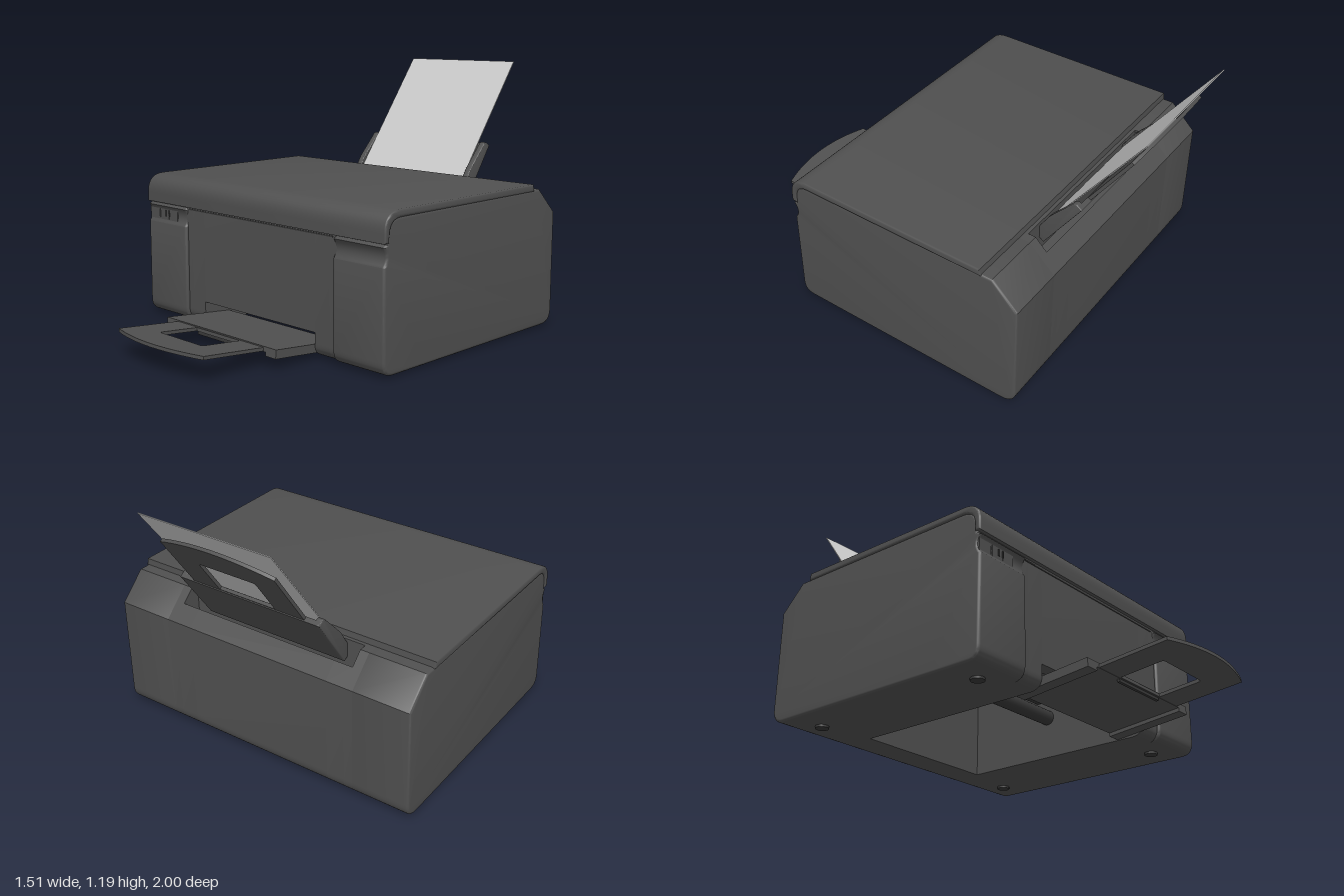
import * as THREE from 'three';
import { toCreasedNormals } from 'three/addons/utils/BufferGeometryUtils.js';

const plastic = new THREE.MeshStandardMaterial({ color: 0x505050 });
const dark = new THREE.MeshStandardMaterial({ color: 0x383838 });
const white = new THREE.MeshStandardMaterial({ color: 0xcccccc, side: THREE.DoubleSide });

function add(parent, name, geometry, material = plastic, x = 0, y = 0, z = 0) {
  const mesh = new THREE.Mesh(geometry, material);
  mesh.name = name;
  mesh.position.set(x, y, z);
  parent.add(mesh);
  return mesh;
}
const box = (w, h, d) => new THREE.BoxGeometry(w, h, d);

// Sweeps a (z, y) side profile along x from x0 to x1, with optional rounded ends
function sweep(shape, x0, x1, bevel = 0) {
  const g = new THREE.ExtrudeGeometry(shape, {
    depth: x1 - x0 - 2 * bevel, bevelEnabled: bevel > 0, bevelSize: bevel,
    bevelThickness: bevel, bevelOffset: -bevel, bevelSegments: 3, curveSegments: 10,
  });
  g.rotateY(-Math.PI / 2);
  g.translate(x1 - bevel, 0, 0);
  return toCreasedNormals(g, 0.6);
}

// Casing profile: optional feed notch in the rear slope, optional open paper chamber
function casing({ front = 0.42, notch = false, chamber = false, grip = false }) {
  const s = new THREE.Shape();
  s.moveTo(chamber ? -0.54 : 0.2, 0.01);
  s.lineTo(-0.66, 0.01);
  s.quadraticCurveTo(-0.73, 0.01, -0.73, 0.08);
  s.lineTo(-0.73, 0.53);
  if (notch) {
    s.lineTo(-0.665, 0.592);
    s.lineTo(-0.635, 0.5);
    s.lineTo(-0.575, 0.5);
    s.lineTo(-0.575, 0.645);
  } else {
    s.lineTo(-0.61, 0.645);
  }
  s.lineTo(0.34, 0.645);
  s.quadraticCurveTo(0.42, 0.645, 0.42, 0.56);
  if (grip) {
    s.lineTo(0.42, 0.54);
    s.lineTo(front, 0.53);
    s.quadraticCurveTo(0.405, 0.49, front, 0.45);
  }
  if (chamber) {
    s.lineTo(0.42, 0.115);
    s.lineTo(0.36, 0.115);
    s.lineTo(0.36, 0.4);
    s.lineTo(-0.54, 0.4);
  } else {
    s.lineTo(front, 0.07);
    s.quadraticCurveTo(front, 0.01, front - 0.06, 0.01);
  }
  s.closePath();
  return s;
}

function lidProfile() {
  const s = new THREE.Shape();
  s.moveTo(-0.56, 0.64);
  s.lineTo(-0.555, 0.672);
  s.lineTo(0.35, 0.672);
  s.quadraticCurveTo(0.437, 0.67, 0.437, 0.585);
  s.lineTo(0.437, 0.545);
  s.lineTo(0.41, 0.545);
  s.lineTo(0.41, 0.57);
  s.quadraticCurveTo(0.41, 0.64, 0.34, 0.64);
  s.closePath();
  return s;
}

// Pull-out extension with a bowed end and a rectangular window; runs along local +y
function extension(length) {
  const s = new THREE.Shape();
  s.moveTo(-0.28, -0.04);
  s.lineTo(0.28, -0.04);
  s.lineTo(0.28, length - 0.05);
  s.quadraticCurveTo(0, length + 0.05, -0.28, length - 0.05);
  s.closePath();
  const w = new THREE.Path();
  w.moveTo(-0.14, 0.005);
  w.lineTo(-0.14, 0.19);
  w.quadraticCurveTo(-0.14, 0.205, -0.125, 0.205);
  w.lineTo(0.125, 0.205);
  w.quadraticCurveTo(0.14, 0.205, 0.14, 0.19);
  w.lineTo(0.14, 0.005);
  w.closePath();
  s.holes.push(w);
  const g = new THREE.ExtrudeGeometry(s, { depth: 0.015, bevelEnabled: false, curveSegments: 16 });
  return toCreasedNormals(g, 0.5);
}

export function createModel() {
  const model = new THREE.Group();
  model.name = 'printer';

  // Casing: side blocks, recessed middle, feed notch and open chamber underneath
  const body = new THREE.Group();
  body.name = 'casing';
  model.add(body);
  const side = casing({ front: 0.435, grip: true });
  add(body, 'rightBlock', sweep(side, -0.75, -0.47, 0.012));
  add(body, 'leftBlock', sweep(side, 0.47, 0.75, 0.012));
  for (const m of [-1, 1]) {
    const span = (shape, a, b) => sweep(shape, m > 0 ? a : -b, m > 0 ? b : -a);
    add(body, 'middleWall', span(casing({}), 0.44, 0.482));
    add(body, 'feedWall', span(casing({ notch: true }), 0.355, 0.44));
    for (const z of [-0.58, 0.3]) add(body, 'foot', new THREE.CylinderGeometry(0.03, 0.03, 0.014, 16), dark, m * 0.6, 0.007, z);
  }
  add(body, 'middleSection', sweep(casing({ notch: true, chamber: true }), -0.355, 0.355));

  // Lid wrapping over the top front edge
  add(model, 'lid', sweep(lidProfile(), -0.755, 0.755, 0.008));
  add(model, 'frontPanelLip', box(0.92, 0.006, 0.01), dark, 0, 0.534, 0.418);

  // Control buttons in the right grip recess
  for (const [x, w] of [[-0.71, 0.07], [-0.638, 0.06], [-0.573, 0.06]])
    add(model, 'button', box(w, 0.07, 0.012), plastic, x, 0.492, 0.42);
  for (const x of [-0.63, -0.605]) add(model, 'buttonMark', box(0.008, 0.03, 0.004), dark, x, 0.495, 0.427);

  // Feed roller and paper guide inside the chamber
  const roller = add(model, 'feedRoller', new THREE.CylinderGeometry(0.035, 0.035, 0.7, 20), dark, 0, 0.2, -0.1);
  roller.rotation.z = Math.PI / 2;
  add(model, 'paperGuide', box(0.7, 0.06, 0.12), dark, 0, 0.31, -0.1);

  // Rear support, leaning back
  const rear = new THREE.Group();
  rear.name = 'rearSupport';
  rear.position.set(0, 0.55, -0.595);
  rear.rotation.x = -0.6;
  model.add(rear);
  add(rear, 'supportPlate', box(0.7, 0.3, 0.022), plastic, 0, 0.15, 0.011);
  const rail = new THREE.Shape();
  rail.moveTo(0, 0);
  rail.lineTo(0.06, 0);
  rail.lineTo(0.064, 0.14);
  rail.lineTo(0.042, 0.285);
  rail.quadraticCurveTo(0.038, 0.3, 0.025, 0.3);
  rail.lineTo(0, 0.3);
  rail.closePath();
  add(rear, 'rightEdgeGuide', sweep(rail, -0.355, -0.325, 0.004));
  add(rear, 'leftEdgeGuide', sweep(rail, 0.325, 0.355, 0.004));
  add(rear, 'supportExtension', extension(0.355), plastic, 0, 0.3, 0.005);

  // Sheet of paper resting on the support
  const sheet = add(model, 'paper', box(0.64, 0.7, 0.004), white, 0, 0.907, -0.789);
  sheet.rotation.x = -0.631;

  // Front output tray, rising gently forward
  const tray = new THREE.Group();
  tray.name = 'outputTray';
  tray.position.set(0, 0.051, 0.28);
  tray.rotation.x = Math.PI / 2 - 0.1;
  model.add(tray);
  add(tray, 'trayPlate', box(0.71, 0.36, 0.022), plastic, 0, 0.18, 0.011);
  for (const m of [-1, 1]) add(tray, 'trayRail', box(0.06, 0.36, 0.038), plastic, m * 0.325, 0.18, 0.019);
  add(tray, 'trayExtension', extension(0.362), plastic, 0, 0.36, 0.005);
  add(tray, 'trayHandle', box(0.28, 0.012, 0.026), dark, 0, 0.352, 0.022);

  return model;
}
